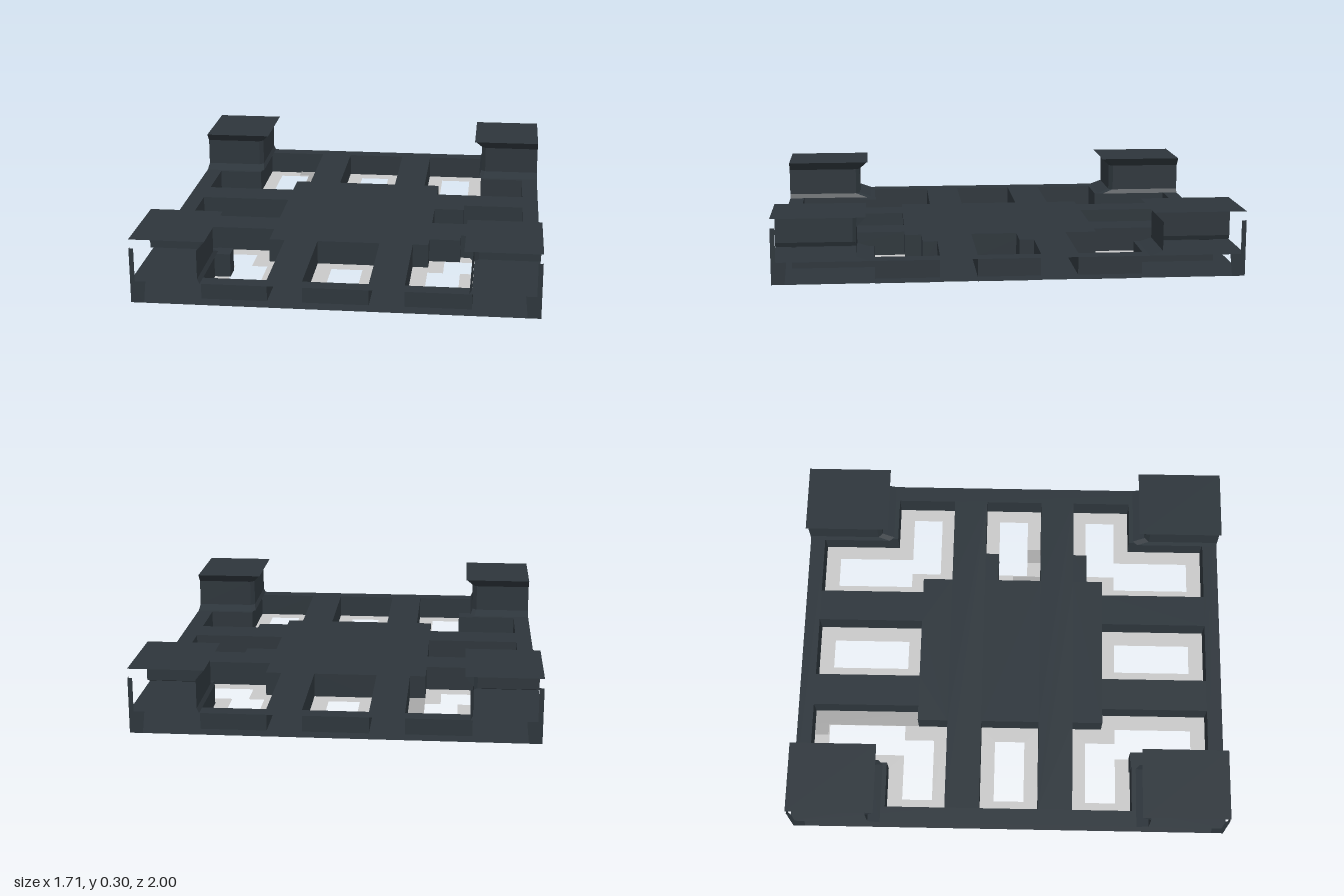
import * as THREE from 'three';

const dark = new THREE.MeshStandardMaterial({ color: 0x2d353b, side: THREE.DoubleSide });
dark.name = 'dark slate';
const pale = new THREE.MeshStandardMaterial({ color: 0xc8c8c8, side: THREE.DoubleSide });
pale.name = 'pale grey';
const mid = new THREE.MeshStandardMaterial({ color: 0xa6a6a6, side: THREE.DoubleSide });
mid.name = 'mid grey';

const X = 0.855, Z = 1, FLOOR = 0.02, DECK = 0.115, TOP = 0.3;

// Points are [x, z] pairs
const vectors = (pts) => pts.map(([x, z]) => new THREE.Vector2(x, z));
const rect = (x0, x1, z0, z1) => [[x0, z0], [x1, z0], [x1, z1], [x0, z1]];
const mirror = (pts, sx, sz) => pts.map(([x, z]) => [x * sx, z * sz]);

// Flat horizontal sheet with holes
function sheet(group, name, outline, holes, y, material) {
  const shape = new THREE.Shape(vectors(outline));
  shape.holes = holes.map((h) => new THREE.Path(vectors(h)));
  const mesh = new THREE.Mesh(new THREE.ShapeGeometry(shape).rotateX(Math.PI / 2), material);
  mesh.name = name;
  mesh.position.y = y;
  group.add(mesh);
}

// Faces spanning two paths of 3D points
function band(group, name, lower, upper) {
  const pos = [];
  for (let i = 0; i + 1 < lower.length; i++) {
    const [a, b, c, d] = [lower[i], lower[i + 1], upper[i + 1], upper[i]];
    pos.push(...a, ...b, ...c, ...a, ...c, ...d);
  }
  const g = new THREE.BufferGeometry();
  g.setAttribute('position', new THREE.Float32BufferAttribute(pos, 3));
  g.computeVertexNormals();
  const mesh = new THREE.Mesh(g, dark);
  mesh.name = name;
  group.add(mesh);
}

function box(group, name, x0, x1, y0, y1, z0, z1) {
  const mesh = new THREE.Mesh(new THREE.BoxGeometry(x1 - x0, y1 - y0, z1 - z0), dark);
  mesh.name = name;
  mesh.position.set((x0 + x1) / 2, (y0 + y1) / 2, (z0 + z1) / 2);
  group.add(mesh);
}

// One tower: two inner walls, a flared cornice, a roof and corner posts
function tower(sx, sz) {
  const g = new THREE.Group();
  g.name = 'cornerTower';
  const path = (x, z, y) => [[X, z], [x + 0.02, z], [x, z + 0.02], [x, Z]]
    .map(([px, pz]) => [px * sx, y, pz * sz]);
  band(g, 'towerSkirt', path(0.56, 0.59, DECK), path(0.57, 0.645, 0.135));
  band(g, 'towerWalls', path(0.57, 0.645, 0.135), path(0.57, 0.645, 0.26));
  band(g, 'towerCornice', path(0.57, 0.645, 0.26), path(0.535, 0.605, TOP));
  sheet(g, 'towerRoof', mirror(rect(0.535, X, 0.605, Z), sx, sz), [], TOP, dark);
  // Corner panels below the deck and slim post above it
  const corner = (w, y) => [[X - w, Z], [X, Z], [X, Z - w]].map(([x, z]) => [x * sx, y, z * sz]);
  band(g, 'cornerPanel', corner(0.055, FLOOR), corner(0.065, DECK));
  band(g, 'cornerPost', corner(0.02, DECK), corner(0.02, 0.26));
  return g;
}

export function createModel() {
  const model = new THREE.Group();
  model.name = 'towerPlatform';

  // Each well has an outer outline and an inner opening
  const wells = [];
  const outerL = [[0.78, 0.57], [0.57, 0.57], [0.57, 0.93], [0.29, 0.93],
    [0.29, 0.435], [0.36, 0.435], [0.36, 0.295], [0.78, 0.295]];
  const innerL = [[0.72, 0.5], [0.505, 0.5], [0.505, 0.86], [0.36, 0.86],
    [0.36, 0.5], [0.43, 0.5], [0.43, 0.36], [0.72, 0.36]];
  for (const sx of [-1, 1]) {
    for (const sz of [-1, 1]) {
      wells.push([mirror(outerL, sx, sz), mirror(innerL, sx, sz)]);
      model.add(tower(sx, sz));
    }
    wells.push([mirror(rect(0.36, 0.78, -0.135, 0.135), sx, 1),
      mirror(rect(0.43, 0.72, -0.07, 0.07), sx, 1)]);
    wells.push([mirror(rect(-0.14, 0.14, 0.435, 0.93), 1, sx),
      mirror(rect(-0.07, 0.07, 0.5, 0.86), 1, sx)]);
  }

  // Deck and underside, pierced by the wells
  const outers = wells.map((w) => w[0]);
  sheet(model, 'deck', rect(-X, X, -Z, Z), outers, DECK, dark);
  sheet(model, 'underside', rect(-X, X, -Z, Z), outers, FLOOR, dark);

  // Well walls and the pale ledges at their bottoms
  for (const [outer, inner] of wells) {
    const loop = [...outer, outer[0]];
    band(model, 'wellWall', loop.map(([x, z]) => [x, 0, z]), loop.map(([x, z]) => [x, DECK, z]));
    sheet(model, 'wellLedge', outer, [inner], 0.008, pale);
  }

  // Small blocks standing in some wells
  box(model, 'wellBlock', -0.57, -0.5, 0.01, DECK, 0.565, 0.645);
  box(model, 'wellBlock', 0.36, 0.5, 0.01, DECK, -0.135, -0.07);
  box(model, 'wellBlock', 0.36, 0.5, 0.01, DECK, 0.295, 0.36);

  // Darker patches on the ledges
  for (const r of [[-0.36, -0.29, -0.93, -0.435], [-0.41, -0.36, -0.93, -0.865],
    [0.36, 0.425, 0, 0.135], [0.5, 0.57, 0.07, 0.135]]) {
    sheet(model, 'ledgePatch', rect(...r), [], 0.012, mid);
  }
  return model;
}
